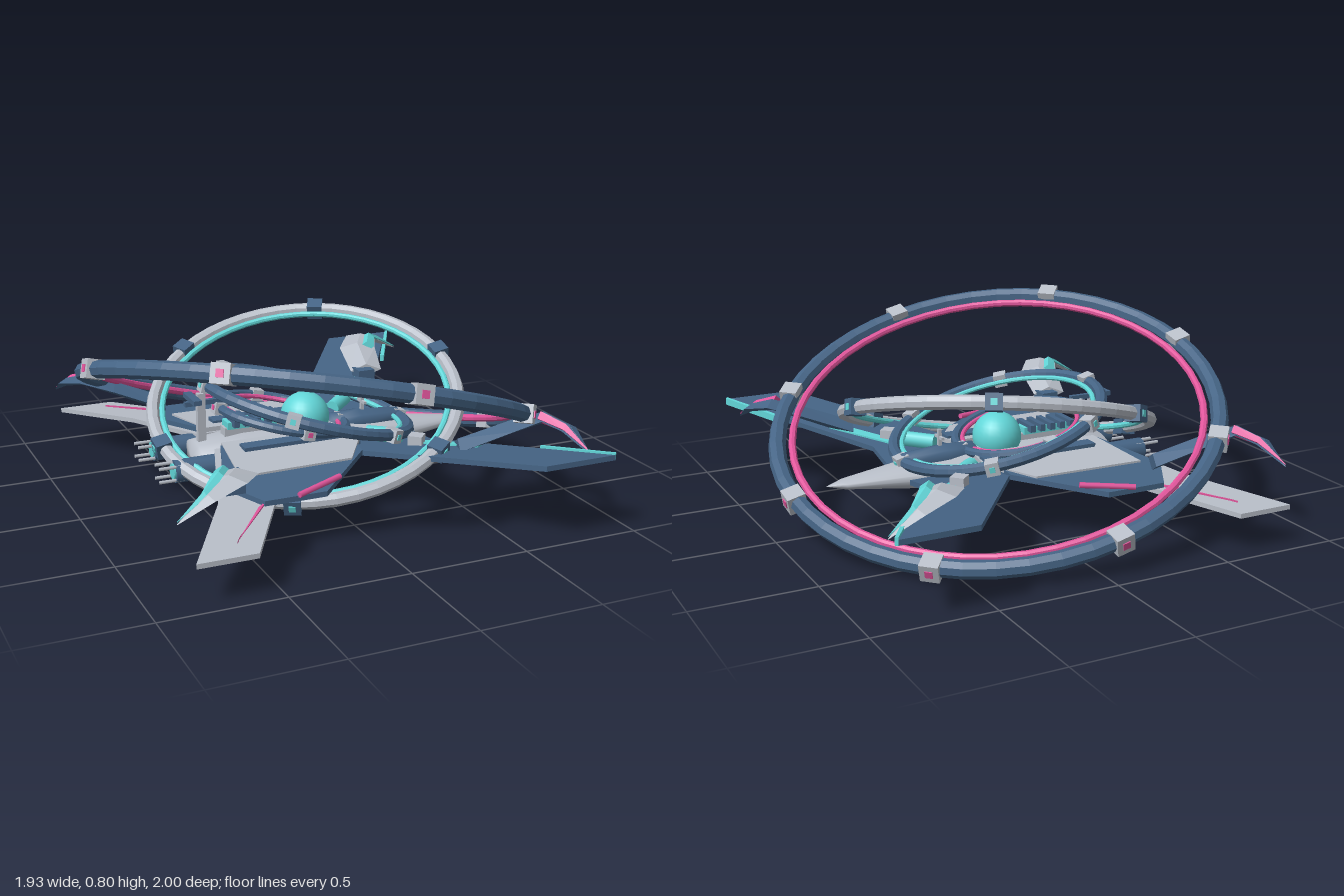
import * as THREE from 'three';

const mat = (name, color) => {
  const m = new THREE.MeshStandardMaterial({ color });
  m.name = name;
  return m;
};

export function createModel() {
  const model = new THREE.Group();
  model.name = 'ringedStarship';
  const navy = mat('navy', 0x456485);
  const grey = mat('lightGrey', 0xb8bec8);
  const pink = mat('pink', 0xe0559b);
  const teal = mat('teal', 0x62d6d8);

  const flat = (geo) => {
    const g = geo.index ? geo.toNonIndexed() : geo;
    g.computeVertexNormals();
    return g;
  };
  const add = (name, geo, material, x = 0, y = 0, z = 0, parent = model) => {
    const m = new THREE.Mesh(geo, material);
    m.name = name;
    m.position.set(x, y, z);
    parent.add(m);
    return m;
  };
  const box = (name, material, sx, sy, sz, x, y, z, parent) =>
    add(name, new THREE.BoxGeometry(sx, sy, sz), material, x, y, z, parent);

  // straight bar between two points
  const rod = (name, material, from, to, r, sides = 8) => {
    const a = new THREE.Vector3(...from), d = new THREE.Vector3(...to).sub(a);
    const m = add(name, new THREE.CylinderGeometry(r, r, d.length(), sides), material);
    m.position.copy(a).addScaledVector(d, 0.5);
    m.quaternion.setFromUnitVectors(new THREE.Vector3(0, 1, 0), d.normalize());
    return m;
  };

  // body of revolution along x, squashed in height; profile is [radius, x]
  const hull = (name, material, profile, y, squash, sides) => {
    const g = new THREE.LatheGeometry(profile.map((p) => new THREE.Vector2(...p)), sides);
    g.rotateZ(-Math.PI / 2).scale(1, squash, 1);
    return add(name, g, material, 0, y, 0);
  };

  // thin panel: [x, z] outline for one side, height varying with distance from the hull
  const panel = (name, material, outline, side, height, t) => {
    const shape = new THREE.Shape(outline.map(([x, z]) => new THREE.Vector2(x, -z * side)));
    const g = new THREE.ExtrudeGeometry(shape, { depth: t, bevelEnabled: false });
    g.rotateX(-Math.PI / 2);
    const p = g.attributes.position;
    for (let i = 0; i < p.count; i++) p.setY(i, p.getY(i) - t / 2 + height(Math.abs(p.getZ(i))));
    return add(name, flat(g), material);
  };

  // tapering blade with diamond sections: [x, y, z, halfWidth, halfThickness]
  const blade = (name, material, rows, parent, shift = 0, lift = 0, scale = 1) => {
    const up = new THREE.Vector3(0, 1, 0);
    const c = rows.map((r) => new THREE.Vector3(r[0], r[1], r[2]));
    const rings = rows.map((r, i) => {
      const t = c[Math.min(i + 1, c.length - 1)].clone().sub(c[Math.max(i - 1, 0)]).setY(0).normalize();
      const s = t.cross(up);
      const o = c[i].clone().addScaledVector(s, r[3] * shift).addScaledVector(up, lift);
      return [[1, 0], [0, -1], [-1, 0], [0, 1]].map(([a, b]) =>
        o.clone().addScaledVector(s, a * r[3] * scale).addScaledVector(up, b * r[4]));
    });
    const pts = [];
    const f = rings[0];
    pts.push(f[0], f[2], f[1], f[0], f[3], f[2]);
    for (let i = 0; i < rings.length - 1; i++) {
      for (let j = 0; j < 4; j++) {
        const k = (j + 1) % 4, A = rings[i], B = rings[i + 1];
        pts.push(A[j], A[k], B[k], A[j], B[k], B[j]);
      }
    }
    return add(name, flat(new THREE.BufferGeometry().setFromPoints(pts)), material, 0, 0, 0, parent);
  };

  // tilted ring, glowing inner band and evenly spaced nodes; plane is y = cy + a x + b z
  const ring = (name, o) => {
    const g = new THREE.Group();
    g.name = name;
    const u = new THREE.Vector3(1, o.a, 0).normalize();
    const n = new THREE.Vector3(-o.a, 1, -o.b).normalize();
    g.quaternion.setFromRotationMatrix(new THREE.Matrix4().makeBasis(u, n, u.clone().cross(n)));
    g.position.set(o.x, o.y, 0);
    const torus = (R, r) => flat(new THREE.TorusGeometry(R, r, 8, 48).rotateX(Math.PI / 2));
    add(name + 'Tube', torus(o.R, o.r), o.main, 0, 0, 0, g);
    add(name + 'Band', torus(o.bandR, o.bandr), o.band, 0, 0, 0, g);
    for (let i = 0; i < o.count; i++) {
      const node = new THREE.Group();
      node.name = name + 'Node';
      node.rotation.y = (i / o.count) * Math.PI * 2;
      box('nodeBlock', o.node, o.size, o.size, o.size, o.R + 0.004, 0, 0, node);
      box('nodeLight', o.light, 0.008, o.size * 0.4, o.size * 0.4, o.R + 0.004 + o.size / 2, 0, 0, node);
      g.add(node);
    }
    model.add(g);
  };
  ring('outerRing', { x: 0, y: 0.407, a: -0.251, b: 0.31, R: 0.94, r: 0.037, bandR: 0.876, bandr: 0.016,
    main: navy, band: pink, node: grey, light: pink, count: 8, size: 0.078 });
  ring('middleRing', { x: 0, y: 0.4, a: 0.2, b: -0.335, R: 0.65, r: 0.029, bandR: 0.61, bandr: 0.013,
    main: grey, band: teal, node: navy, light: teal, count: 6, size: 0.068 });
  ring('innerRing', { x: 0, y: 0.388, a: -0.275, b: 0, R: 0.455, r: 0.026, bandR: 0.42, bandr: 0.011,
    main: navy, band: teal, node: grey, light: teal, count: 6, size: 0.056 });
  ring('coreRing', { x: -0.11, y: 0.345, a: -0.22, b: 0, R: 0.282, r: 0.02, bandR: 0.252, bandr: 0.01,
    main: navy, band: pink, node: grey, light: pink, count: 4, size: 0.05 });

  // hull, canopy and glowing core
  hull('fuselage', grey, [[0, -0.52], [0.12, -0.5], [0.16, -0.3], [0.155, 0.1], [0.115, 0.38], [0.04, 0.7], [0, 0.78]], 0.21, 0.52, 16);
  hull('canopy', navy, [[0, 0.08], [0.065, 0.12], [0.07, 0.25], [0.05, 0.44], [0, 0.47]], 0.265, 0.75, 8);
  add('core', new THREE.SphereGeometry(0.105, 24, 16), teal, 0, 0.32, 0);
  add('corePedestal', new THREE.CylinderGeometry(0.07, 0.1, 0.08, 12), navy, 0, 0.25, 0);
  box('antenna', grey, 0.015, 0.11, 0.015, 0.27, 0.33, 0);
  box('antennaBar', grey, 0.012, 0.012, 0.07, 0.27, 0.35, 0);

  // ribbed spine and tail mast
  box('spineGlow', teal, 0.25, 0.03, 0.07, -0.24, 0.33, 0);
  box('spineBase', grey, 0.27, 0.06, 0.05, -0.24, 0.29, 0);
  for (let i = 0; i < 5; i++) box('spineRib', navy, 0.024, 0.03, 0.13, -0.335 + i * 0.048, 0.345, 0);
  box('tailMast', grey, 0.035, 0.24, 0.025, -0.47, 0.36, 0);
  box('tailBoom', navy, 0.18, 0.02, 0.02, -0.45, 0.44, 0);
  box('tailCrossbar', navy, 0.035, 0.02, 0.14, -0.505, 0.46, 0);

  const frontY = (z) => 0.225 + (z - 0.2) * 0.1375;
  const rearY = (z) => 0.245 - (z - 0.2) * 0.107;
  for (const s of [1, -1]) {
    // front wings with glowing trim
    panel('frontWing', navy, [[0.02, 0.1], [0.46, 0.12], [0.45, 0.3], [0.885, 1], [0.57, 1], [0.05, 0.24]], s, frontY, 0.022);
    panel('frontWingStripe', teal, [[0.33, 0.32], [0.37, 0.3], [0.56, 0.54], [0.52, 0.57]], s, (z) => frontY(z) + 0.014, 0.008);
    panel('frontWingEdge', teal, [[0.72, 0.72], [0.735, 0.71], [0.895, 0.99], [0.885, 1]], s, (z) => frontY(z) + 0.004, 0.03);
    rod('powerCell', teal, [0.21, 0.27, s * 0.18], [0.32, 0.275, s * 0.285], 0.033, 10);
    box('wingClamp', grey, 0.06, 0.06, 0.06, 0.35, 0.27, s * 0.36).rotation.y = s * -0.75;

    // rear wings with upper armour
    panel('rearWing', grey, [[-0.45, 0.1], [0.1, 0.1], [0.02, 0.22], [-0.36, 0.56], [-0.59, 0.95], [-0.83, 0.95], [-0.6, 0.55]], s, rearY, 0.02);
    panel('rearWingArmour', navy, [[-0.43, 0.12], [0.12, 0.14], [0.11, 0.34], [-0.18, 0.63], [-0.44, 0.63], [-0.54, 0.45]], s, (z) => rearY(z) + 0.02, 0.022);
    panel('rearWingStripe', pink, [[-0.64, 0.86], [-0.62, 0.83], [-0.42, 0.6], [-0.47, 0.64]], s, (z) => rearY(z) + 0.014, 0.008);
    panel('deck', grey, [[-0.42, 0.1], [0.16, 0.1], [0.17, 0.2], [0.03, 0.41], [-0.46, 0.42]], s, (z) => 0.28 - (z - 0.1) * 0.09, 0.02);
    rod('wingLight', pink, [-0.3, 0.235, s * 0.635], [-0.09, 0.25, s * 0.55], 0.012);
    box('sideRail', navy, 0.52, 0.06, 0.065, -0.1, 0.265, s * 0.187);

    // engines with prongs
    rod('engine', navy, [-0.64, 0.21, s * 0.14], [-0.44, 0.21, s * 0.14], 0.048, 12);
    rod('engineGlow', teal, [-0.647, 0.21, s * 0.14], [-0.64, 0.21, s * 0.14], 0.034, 12);
    for (let i = 0; i < 4; i++) {
      const t = Math.PI * (i / 2 + 0.25);
      const y = 0.21 + 0.04 * Math.sin(t), z = s * 0.14 + 0.04 * Math.cos(t);
      rod('engineProng', grey, [-0.71, y, z], [-0.6, y, z], 0.007, 6);
    }

    // curved feather fins, alternating colours around the hull
    const fins = new THREE.Group();
    fins.name = 'featherFins';
    fins.rotation.y = s > 0 ? 0 : Math.PI;
    model.add(fins);
    const pale = [[0.55, 0.31, -0.53, 0.075, 0.03], [0.575, 0.38, -0.68, 0.085, 0.025],
      [0.64, 0.4, -0.78, 0.075, 0.02], [0.74, 0.365, -0.835, 0.04, 0.014], [0.87, 0.3, -0.87, 0.002, 0.002]];
    const dark = [[0.46, 0.28, 0.51, 0.065, 0.035], [0.67, 0.36, 0.58, 0.065, 0.03],
      [0.79, 0.4, 0.63, 0.06, 0.025], [0.85, 0.37, 0.73, 0.045, 0.018], [0.87, 0.3, 0.86, 0.002, 0.002]];
    blade('paleFin', grey, pale, fins);
    blade('paleFinGlow', teal, pale.slice(1), fins, 0.55, 0.008, 0.4);
    blade('darkFin', navy, dark, fins);
    blade('darkFinGlow', pink, dark.slice(2), fins, 0.5, 0.01, 0.45);
    box('paleFinStrut', navy, 0.08, 0.08, 0.08, 0.53, 0.285, -0.52, fins);
  }
  return model;
}
